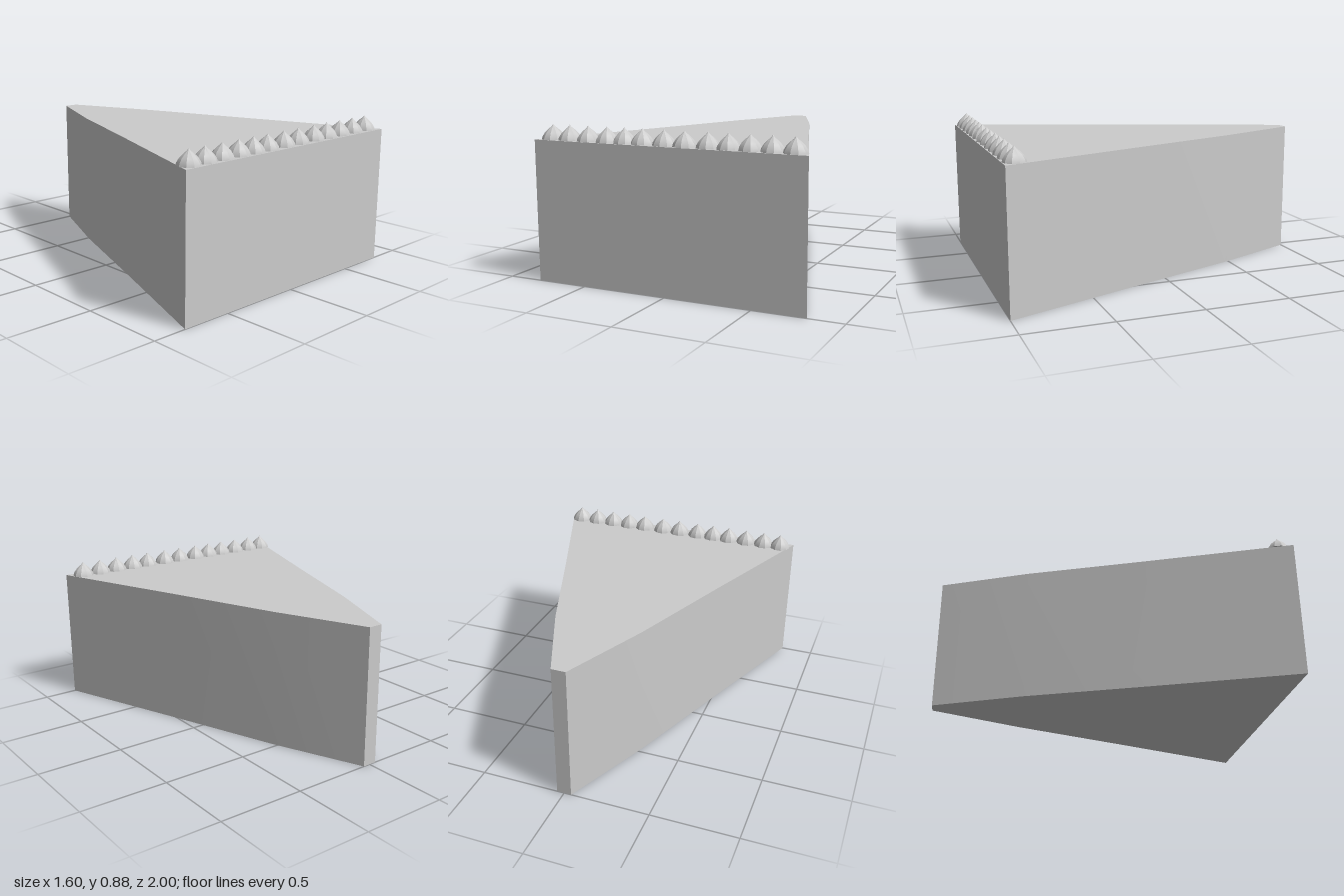
import * as THREE from 'three';
import { toCreasedNormals } from 'three/addons/utils/BufferGeometryUtils.js';

export function createModel() {
  const group = new THREE.Group();
  group.name = 'cakeSlice';
  const material = new THREE.MeshStandardMaterial({ color: 0xcccccc });

  // Wedge body: half outline as [x, z], mirrored to the other side
  const half = [[0.8, 1], [0.505, 0.2], [0.26, -0.48], [0.042, -1]];
  const outline = [...half, ...half.map(([x, z]) => [-x, z]).reverse()];
  const shape = new THREE.Shape(outline.map(([x, z]) => new THREE.Vector2(x, -z)));
  const wedge = new THREE.ExtrudeGeometry(shape, { depth: 0.8, bevelEnabled: false });
  wedge.rotateX(-Math.PI / 2);
  const body = new THREE.Mesh(toCreasedNormals(wedge, Math.PI / 6), material);
  body.name = 'cakeBody';
  group.add(body);

  // Piped cream dollop: ten-sided profile, gently fluted, with a pinched tip
  const profile = [[0, 0], [0.064, 0], [0.06, 0.016], [0.046, 0.038], [0.027, 0.057], [0.011, 0.07], [0, 0.084]];
  const dollop = new THREE.LatheGeometry(profile.map(([r, y]) => new THREE.Vector2(r, y)), 20);
  const pos = dollop.attributes.position;
  for (let i = 0; i < pos.count; i++) {
    const x = pos.getX(i), z = pos.getZ(i);
    const flute = 0.97 + 0.035 * Math.cos(10 * Math.atan2(z, x));
    pos.setX(i, x * flute);
    pos.setZ(i, z * flute);
  }
  const dollopGeometry = toCreasedNormals(dollop, Math.PI / 9);

  // Row of dollops along the wide edge
  const row = new THREE.Group();
  row.name = 'creamRow';
  const centres = [-0.72, -0.61, -0.49, -0.37, -0.26, -0.15, -0.02, 0.1, 0.235, 0.35, 0.47, 0.59, 0.71];
  centres.forEach((x, i) => {
    const cream = new THREE.Mesh(dollopGeometry, material);
    cream.name = 'creamDollop';
    cream.position.set(x, 0.8, 0.935);
    cream.rotation.y = i * 0.7;
    row.add(cream);
  });
  group.add(row);
  return group;
}
